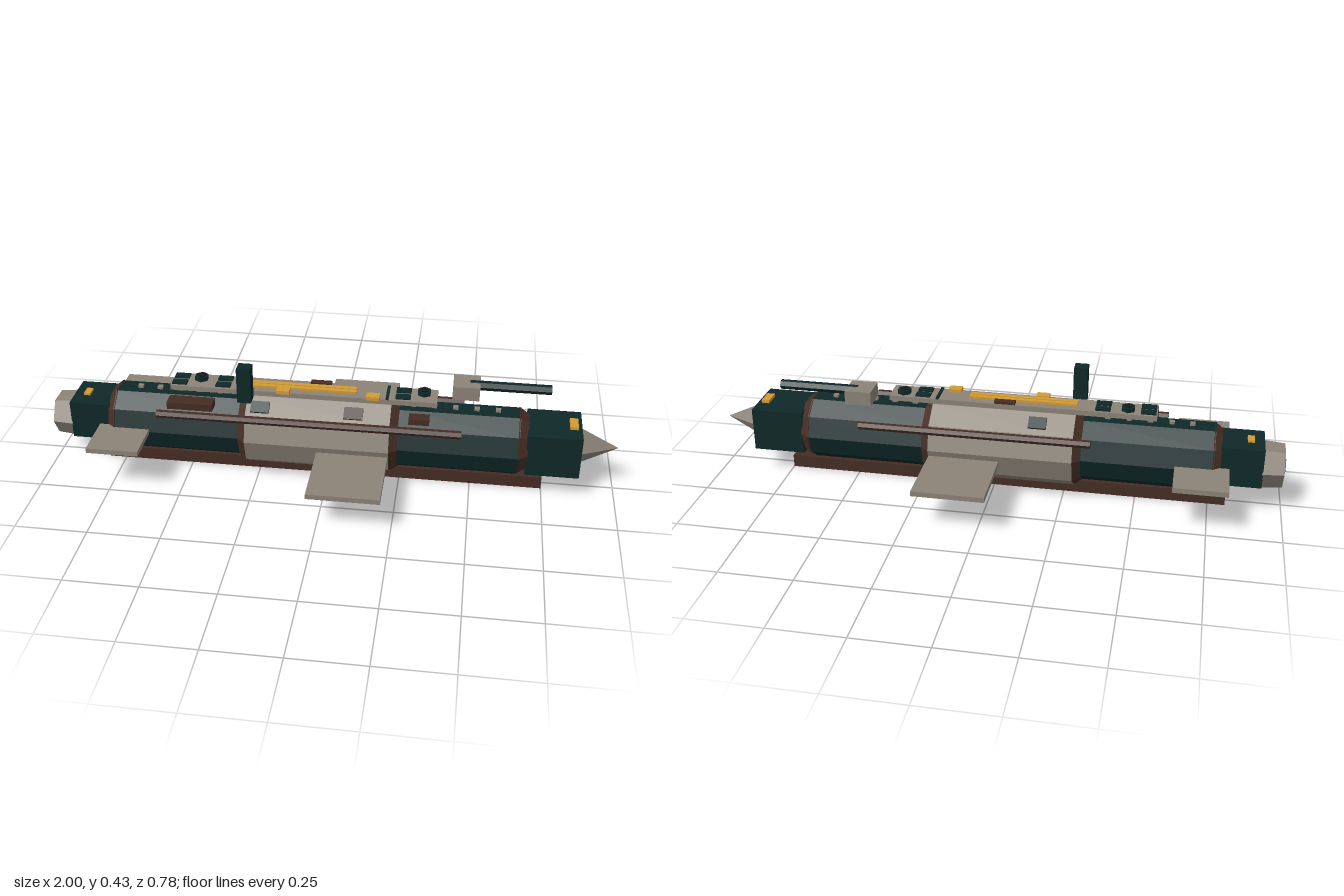
import * as THREE from 'three';

const mat = (name, color) => {
  const m = new THREE.MeshStandardMaterial({ color });
  m.name = name;
  return m;
};

export function createModel() {
  const group = new THREE.Group();
  const grey = mat('warmGrey', 0x8c8378);
  const teal = mat('darkTeal', 0x0f2828);
  const brown = mat('rustBrown', 0x452d24);
  const yellow = mat('signalYellow', 0xd49c34);
  const black = mat('nearBlack', 0x161a1a);
  const CY = 0.167; // height of the hull axis

  const add = (name, geo, material, x, y, z) => {
    const m = new THREE.Mesh(geo, material);
    m.name = name;
    m.position.set(x, y, z);
    group.add(m);
    return m;
  };
  // box given by its limits on each axis
  const box = (name, material, x0, x1, y0, y1, z0, z1) =>
    add(name, new THREE.BoxGeometry(x1 - x0, y1 - y0, z1 - z0), material,
      (x0 + x1) / 2, (y0 + y1) / 2, (z0 + z1) / 2);
  const flat = (geo) => {
    const g = geo.toNonIndexed();
    g.computeVertexNormals();
    return g;
  };
  // faceted prism or frustum lying along x
  const prism = (name, material, x0, x1, r0, r1, sides, y = CY, z = 0) =>
    add(name, flat(new THREE.CylinderGeometry(r1, r0, x1 - x0, sides).rotateZ(-Math.PI / 2)),
      material, (x0 + x1) / 2, y, z);

  // ten-sided hull with conical collars
  prism('rearHull', teal, -0.76, -0.31, 0.119, 0.119, 10);
  prism('foreHull', teal, 0.24, 0.66, 0.119, 0.119, 10);
  prism('midHull', grey, -0.285, 0.217, 0.142, 0.142, 10);
  prism('midCollarRear', brown, -0.312, -0.285, 0.122, 0.141, 10);
  prism('midCollarFore', brown, 0.217, 0.245, 0.141, 0.122, 10);
  prism('tailCollar', brown, -0.783, -0.755, 0.1, 0.121, 10);
  prism('noseCollar', brown, 0.655, 0.69, 0.121, 0.098, 10);

  // nose and tail
  box('noseBlock', teal, 0.685, 0.87, 0.09, 0.245, -0.093, 0.093);
  prism('noseCone', grey, 0.87, 1.0, 0.06, 0.0005, 6);
  box('noseMarker', yellow, 0.828, 0.856, 0.244, 0.256, -0.03, 0.03);
  box('tailBlock', teal, -0.925, -0.78, 0.1, 0.241, -0.078, 0.078);
  box('tailMarker', yellow, -0.89, -0.867, 0.24, 0.249, -0.02, 0.02);
  prism('thruster', grey, -0.995, -0.922, 0.075, 0.082, 6, 0.155);
  prism('thrusterOpening', black, -1.0, -0.994, 0.034, 0.034, 6, 0.155);

  // keel, fins and side pipes
  box('keel', brown, -0.81, 0.75, 0, 0.045, -0.037, 0.037);
  for (const s of [-1, 1]) {
    const fin = (name, x0, x1, y0, y1, reach) =>
      box(name, grey, x0, x1, y0, y1, Math.min(s * 0.1, s * reach), Math.max(s * 0.1, s * reach));
    fin('midFin', -0.032, 0.215, 0.127, 0.145, 0.39);
    fin('rearFin', -0.812, -0.63, 0.158, 0.176, 0.265);
  }
  prism('leftPipe', brown, -0.595, 0.462, 0.014, 0.014, 6, 0.248, 0.121);
  prism('rightPipe', brown, -0.345, 0.465, 0.014, 0.014, 6, 0.236, -0.125);

  // raised deck and its fittings
  box('deck', grey, -0.56, 0.372, 0.304, 0.322, -0.046, 0.046);
  for (const x of [-0.46, 0.325]) {
    add('hatch', flat(new THREE.CylinderGeometry(0.025, 0.025, 0.016, 6)), teal, x, 0.329, -0.012);
    add('hatchCap', flat(new THREE.CylinderGeometry(0.016, 0.016, 0.006, 6)), black, x, 0.338, -0.012);
  }
  for (const x of [-0.53, -0.375, 0.255]) {
    for (const z of [-0.022, 0.022]) {
      box('deckPanel', teal, x - 0.026, x + 0.026, 0.321, 0.328, z - 0.015, z + 0.015);
    }
  }
  box('deckCrossStrip', teal, 0.196, 0.206, 0.321, 0.327, -0.046, 0.046);
  for (const z of [-0.008, 0.013]) {
    box('deckRail', yellow, -0.285, 0.092, 0.321, 0.33, z - 0.008, z + 0.008);
  }
  for (const x of [-0.16, 0.152]) {
    box('deckMarker', yellow, x - 0.023, x + 0.023, 0.32, 0.333, 0.022, 0.054);
  }
  box('deckVent', brown, -0.073, 0, 0.321, 0.331, -0.045, -0.022);

  // mast and gun
  box('mast', teal, -0.31, -0.262, 0.304, 0.433, 0.055, 0.103);
  box('turret', grey, 0.422, 0.515, 0.305, 0.355, -0.108, -0.016);
  prism('barrel', teal, 0.48, 0.76, 0.017, 0.017, 6, 0.342, -0.063);

  // plates lying on the upper slanted sides
  const plate = (name, material, x, w, h, side) => {
    const a = THREE.MathUtils.degToRad(54);
    const m = add(name, new THREE.BoxGeometry(w, 0.009, h), material,
      x, CY + 0.138 * Math.sin(a), side * 0.138 * Math.cos(a));
    m.rotation.x = side * (Math.PI / 2 - a);
  };
  plate('sideHatch', brown, 0.09, 0.066, 0.044, 1);
  plate('sideWindow', teal, -0.158, 0.062, 0.044, -1);
  plate('sidePanel', teal, -0.235, 0.065, 0.042, 1);
  box('rearLocker', brown, -0.56, -0.4, 0.262, 0.288, 0.055, 0.108);
  box('foreLocker', brown, 0.28, 0.35, 0.262, 0.283, 0.058, 0.1);

  // row of studs along the spine
  for (const x of [-0.68, -0.61, -0.537, -0.464, -0.391, 0.29, 0.363, 0.436, 0.509, 0.582]) {
    box('stud', grey, x - 0.009, x + 0.009, 0.278, 0.289, -0.009, 0.009);
  }
  return group;
}
